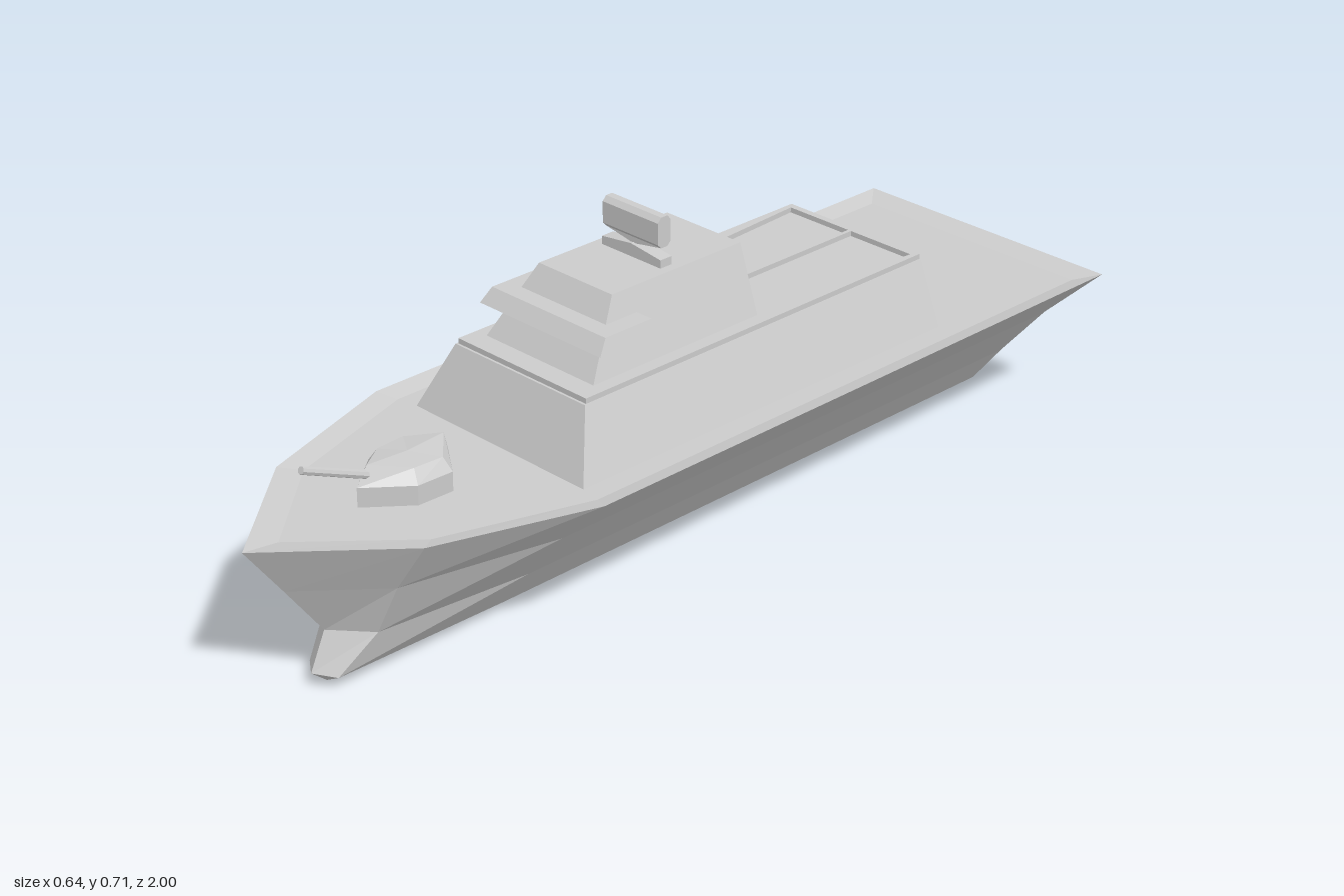
import * as THREE from 'three';

const grey = () => new THREE.MeshStandardMaterial({ color: 0xcccccc, flatShading: true });

function add(group, name, geometry) {
  const mesh = new THREE.Mesh(geometry, grey());
  mesh.name = name;
  group.add(mesh);
  return mesh;
}

// Skins a stack of half outlines (stern to bow on +x), mirrored across x = 0
function loft(halves, closeBottom = true) {
  const rings = halves.map(h => [
    ...h.map(p => new THREE.Vector3(...p)),
    ...h.map(([x, y, z]) => new THREE.Vector3(-x, y, z)).reverse(),
  ]);
  const pos = [];
  const tri = (a, b, c) => {
    const n = b.clone().sub(a).cross(c.clone().sub(a));
    if (n.length() > 1e-9) for (const p of [a, b, c]) pos.push(p.x, p.y, p.z);
  };
  const count = rings[0].length;
  for (let r = 0; r < rings.length - 1; r++) {
    for (let i = 0; i < count; i++) {
      const j = (i + 1) % count, lo = rings[r], hi = rings[r + 1];
      tri(lo[i], hi[i], lo[j]);
      tri(lo[j], hi[i], hi[j]);
    }
  }
  const cap = (ring, up) => {
    const c = ring.reduce((s, p) => s.add(p), new THREE.Vector3()).divideScalar(count);
    ring.forEach((p, i) => {
      const q = ring[(i + 1) % count];
      up ? tri(c, q, p) : tri(c, p, q);
    });
  };
  cap(rings[rings.length - 1], true);
  if (closeBottom) cap(rings[0], false);
  const g = new THREE.BufferGeometry();
  g.setAttribute('position', new THREE.Float32BufferAttribute(pos, 3));
  g.computeVertexNormals();
  return g;
}

// Tapered block; each level is [y, half width, back z, front z]
const block = levels => loft(levels.map(([y, w, z0, z1]) => [[w, y, z0], [w, y, z1]]));

const polygon = (pts, Type = THREE.Shape) => new Type(pts.map(p => new THREE.Vector2(...p)));

export function createModel() {
  const ship = new THREE.Group();
  ship.name = 'patrolShip';

  // Hull from keel to gunwale, then in to the slightly sunken deck
  add(ship, 'hull', loft([
    [[0, 0, -0.93], [0, 0, 0.43], [0, 0.003, 0.83], [0, 0.003, 0.83]],
    [[0.042, 0.022, -0.935], [0.042, 0.022, 0.43], [0.042, 0.028, 0.835], [0, 0.032, 0.865]],
    [[0.11, 0.11, -0.943], [0.11, 0.11, 0.43], [0.075, 0.11, 0.765], [0, 0.11, 0.83]],
    [[0.205, 0.225, -0.962], [0.205, 0.225, 0.43], [0.132, 0.225, 0.762], [0, 0.225, 0.915]],
    [[0.32, 0.338, -1], [0.32, 0.338, 0.43], [0.21, 0.338, 0.76], [0, 0.338, 1]],
    [[0.28, 0.328, -0.95], [0.28, 0.328, 0.41], [0.18, 0.328, 0.72], [0, 0.328, 0.92]],
  ], false));

  // Main deckhouse with a framed roof holding two sunken panels
  add(ship, 'deckhouse', block([
    [0.32, 0.237, -0.58, 0.405],
    [0.46, 0.18, -0.58, 0.345],
  ]));
  const roof = polygon([[-0.177, -0.34], [0.177, -0.34], [0.177, 0.58], [-0.177, 0.58]]);
  for (const s of [-1, 1]) {
    roof.holes.push(polygon([
      [s * 0.004, 0.565], [s * 0.165, 0.565], [s * 0.14, 0.16], [s * 0.004, 0.16],
    ], THREE.Path));
  }
  const roofGeo = new THREE.ExtrudeGeometry(roof, { depth: 0.012, bevelEnabled: false });
  roofGeo.rotateX(-Math.PI / 2);
  add(ship, 'roofFrame', roofGeo).position.y = 0.459;

  // Bridge tower and its wings
  add(ship, 'bridgeTower', block([
    [0.465, 0.15, -0.14, 0.298],
    [0.609, 0.1, -0.14, 0.2],
  ]));
  add(ship, 'bridgeWings', block([
    [0.534, 0.166, 0.152, 0.293],
    [0.563, 0.156, 0.152, 0.27],
  ]));

  // Radar pedestal and antenna
  const radar = new THREE.Group();
  radar.name = 'radar';
  radar.position.z = 0.04;
  ship.add(radar);
  const base = polygon([[-0.08, 0.605], [0.08, 0.605], [0.08, 0.626], [0, 0.636], [-0.08, 0.626]]);
  const baseGeo = new THREE.ExtrudeGeometry(base, { depth: 0.03, bevelEnabled: false });
  add(radar, 'radarPedestal', baseGeo.translate(0, 0, -0.015));
  add(radar, 'radarAntenna', loft([
    [[0, 0.634, -0.008], [0, 0.634, 0.008]],
    [[0.075, 0.647, -0.008], [0.075, 0.647, 0.008]],
    [[0.075, 0.656, -0.017], [0.075, 0.656, 0.017]],
    [[0.075, 0.7, -0.017], [0.075, 0.7, 0.017]],
    [[0.075, 0.71, -0.008], [0.075, 0.71, 0.008]],
  ]));

  // Foredeck gun
  const gun = new THREE.Group();
  gun.name = 'deckGun';
  ship.add(gun);
  const foot = y => [[0, y, 0.523], [0.073, y, 0.575], [0.07, y, 0.655], [0, y, 0.74]];
  add(gun, 'gunTurret', loft([
    foot(0.32),
    foot(0.368),
    [[0, 0.406, 0.532], [0.056, 0.395, 0.583], [0.052, 0.395, 0.648], [0, 0.406, 0.715]],
  ]));
  const from = new THREE.Vector3(0, 0.376, 0.69), to = new THREE.Vector3(0, 0.45, 0.862);
  const dir = to.clone().sub(from);
  const barrel = add(gun, 'gunBarrel', new THREE.CylinderGeometry(0.008, 0.009, dir.length(), 8));
  barrel.position.copy(from).add(to).multiplyScalar(0.5);
  barrel.quaternion.setFromUnitVectors(new THREE.Vector3(0, 1, 0), dir.normalize());

  return ship;
}
